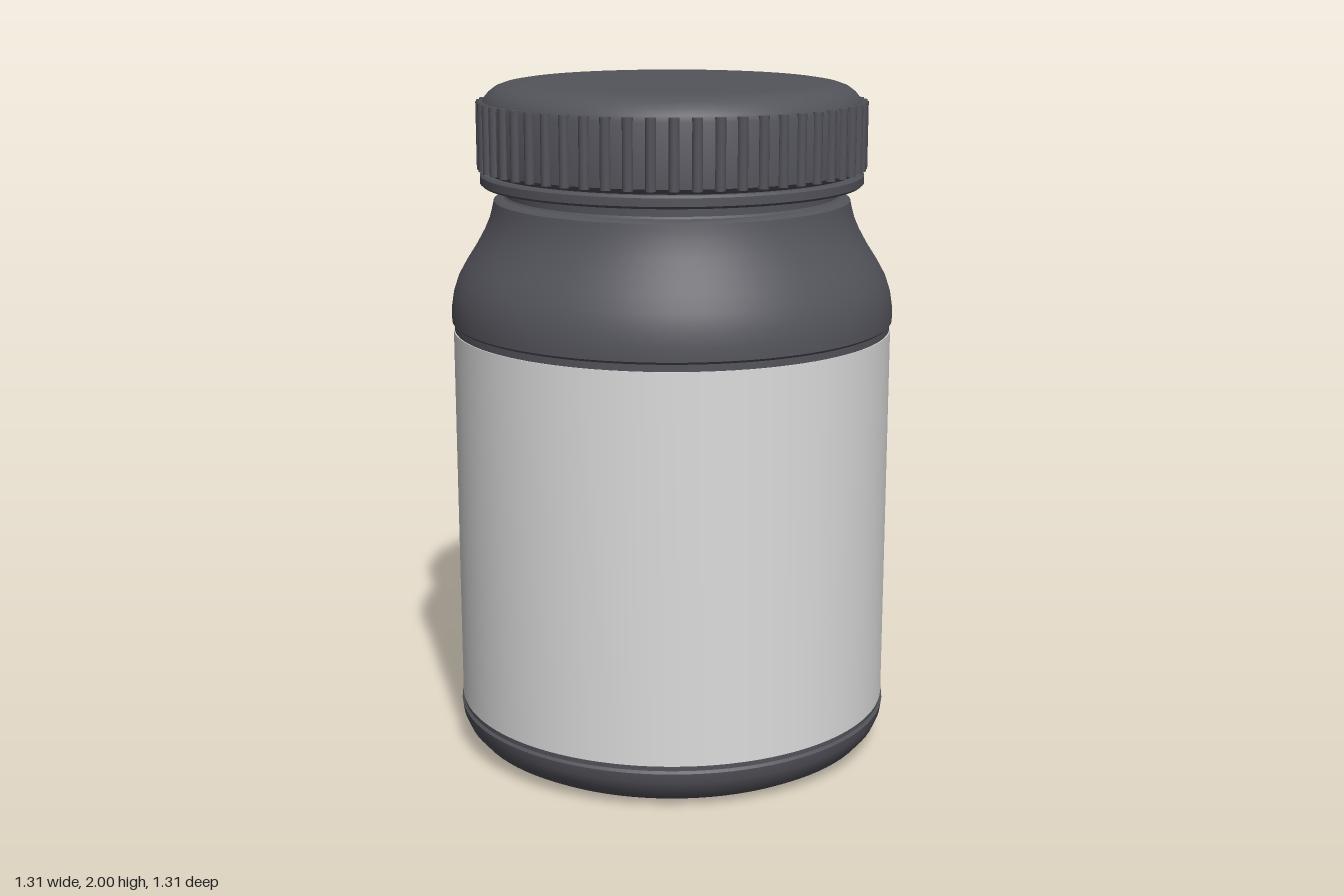
import * as THREE from 'three';
import { mergeGeometries, toCreasedNormals } from 'three/addons/utils/BufferGeometryUtils.js';

const SEGMENTS = 96;
const RIBS = 56;

export function createModel() {
  const jar = new THREE.Group();
  jar.name = 'jar';

  const plastic = new THREE.MeshStandardMaterial({ color: 0x53535b });
  plastic.name = 'dark grey plastic';
  const paper = new THREE.MeshStandardMaterial({ color: 0xdcdcdc });
  paper.name = 'pale grey label';

  const add = (name, geometry, material) => {
    const mesh = new THREE.Mesh(geometry, material);
    mesh.name = name;
    jar.add(mesh);
  };

  // Turns a [radius, height] profile, listed bottom to top, around the y axis
  const turn = (profile) => toCreasedNormals(
    new THREE.LatheGeometry(profile.map(([r, y]) => new THREE.Vector2(r, y)), SEGMENTS), 0.6);

  // Bottle: rounded base, shallow label recess, sloping shoulder, stepped neck
  add('bottle', turn([
    [0, 0], [0.54, 0], [0.575, 0.008], [0.61, 0.028], [0.636, 0.058], [0.65, 0.09], [0.654, 0.118],
    [0.647, 0.125], [0.647, 1.3], [0.654, 1.307],
    [0.654, 1.345], [0.647, 1.39], [0.632, 1.435], [0.607, 1.48], [0.578, 1.525],
    [0.553, 1.57], [0.536, 1.61], [0.527, 1.645], [0.524, 1.66],
    [0.515, 1.667], [0.495, 1.669], [0.49, 1.675], [0.49, 1.72],
  ]), plastic);

  // Label wrapped around the recess
  add('label', turn([[0.647, 0.14], [0.65, 0.14], [0.65, 1.28], [0.647, 1.28]]), paper);

  // Tamper ring under the cap
  add('tamperRing', turn([
    [0.48, 1.705], [0.555, 1.705], [0.563, 1.712], [0.563, 1.735], [0.557, 1.742], [0.48, 1.742],
  ]), plastic);

  // Cap with a softly rounded top edge
  add('cap', turn([
    [0.48, 1.742], [0.54, 1.742], [0.556, 1.757], [0.556, 1.935], [0.549, 1.953], [0.535, 1.971],
    [0.515, 1.986], [0.49, 1.995], [0.46, 2], [0.4, 2], [0, 2],
  ]), plastic);

  // Grip ribs around the cap
  const ribs = [];
  for (let i = 0; i < RIBS; i++) {
    const rib = new THREE.CylinderGeometry(0.015, 0.015, 0.196, 10);
    rib.translate(0, 1.85, 0.556);
    rib.rotateY((i / RIBS) * Math.PI * 2);
    ribs.push(rib);
  }
  add('gripRibs', mergeGeometries(ribs), plastic);

  return jar;
}
